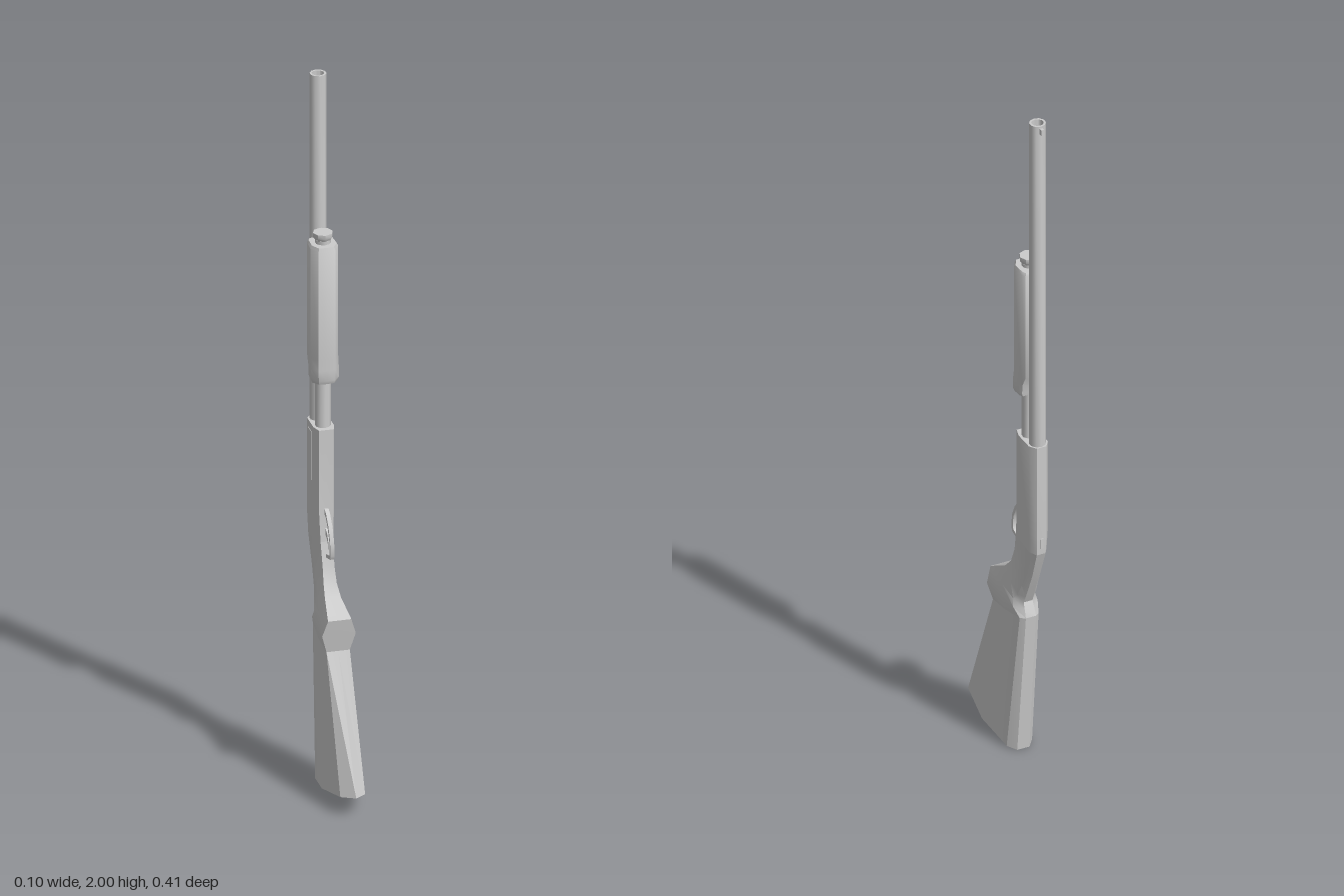
import * as THREE from 'three';
import { toCreasedNormals } from 'three/addons/utils/BufferGeometryUtils.js';

const mat = new THREE.MeshStandardMaterial({ color: 0xcccccc, side: THREE.DoubleSide });

function add(parent, name, geo, x = 0, y = 0, z = 0, crease = 0.7) {
  const mesh = new THREE.Mesh(toCreasedNormals(geo, crease), mat);
  mesh.name = name;
  mesh.position.set(x, y, z);
  parent.add(mesh);
  return mesh;
}

// Ten-sided cross-sections, listed from top to bottom.
// f, b: front and back ends as [z, y]; w: half width at the middle
// a: half width of the front facet, set back by ta; c: half width of the back facet
function loft(sections) {
  const pos = [], idx = [], N = 9;
  for (const { f, b, w, a, c, ta = 0, tm = 0.45, tb = 0.85, wb = 0.95 } of sections) {
    const half = [[a, ta], [w, tm], [w * wb, tb], [c, 1]];
    const loop = [[0, 0], ...half, ...half.slice().reverse().map(([x, t]) => [-x, t])];
    for (const [x, t] of loop) {
      pos.push(x, f[1] + (b[1] - f[1]) * t, f[0] + (b[0] - f[0]) * t);
    }
  }
  const last = (sections.length - 1) * N;
  for (let s = 0; s < last; s += N) {
    for (let i = 0; i < N; i++) {
      const j = (i + 1) % N;
      idx.push(s + i, s + N + i, s + N + j, s + i, s + N + j, s + j);
    }
  }
  for (let i = 1; i < N - 1; i++) {
    idx.push(0, i, i + 1, last, last + i + 1, last + i);
  }
  const geo = new THREE.BufferGeometry();
  geo.setAttribute('position', new THREE.Float32BufferAttribute(pos, 3));
  geo.setIndex(idx);
  return geo;
}

// Thin side-on plate from [z, y] points, centred on x = 0
function plate(points, width, hole) {
  const toVec = (p) => new THREE.Vector2(-p[0], p[1]);
  const shape = new THREE.Shape(points.map(toVec));
  if (hole) shape.holes.push(new THREE.Path(hole.map(toVec)));
  const geo = new THREE.ExtrudeGeometry(shape, { depth: width, bevelEnabled: false });
  return geo.translate(0, 0, -width / 2).rotateY(Math.PI / 2);
}

export function createModel() {
  const model = new THREE.Group();

  // Hollow barrel with a small bead at the muzzle
  const barrelProfile = [[0.0225, 0], [0.0225, 1.05], [0.0165, 1.05], [0.0165, 0.75], [0, 0.75]]
    .map(([r, y]) => new THREE.Vector2(r, y));
  add(model, 'barrel', new THREE.LatheGeometry(barrelProfile, 10), 0, 0.95, -0.173);
  add(model, 'frontBead', new THREE.BoxGeometry(0.008, 0.018, 0.012), 0, 1.985, -0.198);

  // Lower tube and its flared cap
  add(model, 'lowerTube', new THREE.CylinderGeometry(0.021, 0.021, 0.58, 10), 0, 1.25, -0.125);
  const capProfile = [[0.019, 0], [0.02, 0.016], [0.027, 0.026], [0.027, 0.038], [0, 0.038]]
    .map(([r, y]) => new THREE.Vector2(r, y));
  add(model, 'tubeCap', new THREE.LatheGeometry(capProfile, 8), 0, 1.522, -0.125);

  // Sliding fore-end, cut away at its lower rear edge
  const foreEnd = [
    [1.53, -0.086, -0.16, 0.034], [1.522, -0.082, -0.164, 0.038], [1.205, -0.082, -0.164, 0.038],
    [1.175, -0.082, -0.147, 0.038], [1.145, -0.082, -0.143, 0.038], [1.135, -0.086, -0.141, 0.034],
  ];
  add(model, 'foreEnd', loft(foreEnd.map(([y, f, b, w]) => (
    { f: [f, y], b: [b, y], w, a: w * 0.6, c: w * 0.8, ta: 0.03, tm: 0.35, wb: 0.96 }))));

  // Receiver
  add(model, 'receiver', loft([
    { f: [-0.09, 1.0], b: [-0.198, 1.0], w: 0.028, a: 0.02, c: 0.014, tm: 0.25, tb: 0.82, wb: 1 },
    { f: [-0.09, 0.76], b: [-0.198, 0.72], w: 0.028, a: 0.02, c: 0.014, tm: 0.25, tb: 0.82, wb: 1 },
    { f: [-0.083, 0.68], b: [-0.195, 0.665], w: 0.026, a: 0.018, c: 0.013, tm: 0.3, tb: 0.82, wb: 1 },
  ]));
  add(model, 'sidePort', new THREE.BoxGeometry(0.004, 0.14, 0.035), -0.0275, 0.91, -0.15);
  add(model, 'safetyCatch', new THREE.BoxGeometry(0.009, 0.03, 0.008), 0, 0.7, -0.196);

  // Guard loop and trigger
  add(model, 'triggerGuard', plate(
    [[-0.095, 0.775], [-0.075, 0.765], [-0.05, 0.735], [-0.034, 0.7], [-0.03, 0.66],
      [-0.036, 0.648], [-0.075, 0.638], [-0.1, 0.64]], 0.011,
    [[-0.09, 0.757], [-0.077, 0.752], [-0.057, 0.728], [-0.042, 0.697], [-0.039, 0.664],
      [-0.043, 0.657], [-0.074, 0.648], [-0.09, 0.65]]));
  add(model, 'trigger', plate(
    [[-0.09, 0.72], [-0.068, 0.705], [-0.055, 0.68], [-0.053, 0.667], [-0.062, 0.68], [-0.073, 0.692],
      [-0.09, 0.7]], 0.007));

  // Curved grip ending in a faceted front knob
  add(model, 'grip', loft([
    { f: [-0.083, 0.68], b: [-0.195, 0.665], w: 0.026, a: 0.018, c: 0.013, tm: 0.3, tb: 0.82, wb: 1 },
    { f: [-0.07, 0.615], b: [-0.165, 0.583], w: 0.024, a: 0.016, c: 0.011 },
    { f: [-0.053, 0.57], b: [-0.142, 0.53], w: 0.025, a: 0.018, c: 0.011 },
    { f: [-0.025, 0.54], b: [-0.127, 0.495], w: 0.029, a: 0.022, c: 0.012 },
    { f: [0.04, 0.505], b: [-0.118, 0.475], w: 0.034, a: 0.032, c: 0.013 },
    { f: [0.033, 0.46], b: [-0.126, 0.458], w: 0.038, a: 0.046, c: 0.014 },
    { f: [0.025, 0.41], b: [-0.135, 0.435], w: 0.035, a: 0.032, c: 0.015, tb: 0.93, wb: 0.8 },
  ]));

  // Flared butt stock with a pointed toe
  add(model, 'stock', loft([
    { f: [0.025, 0.41], b: [-0.135, 0.435], w: 0.035, a: 0.032, c: 0.015, tb: 0.93, wb: 0.8 },
    { f: [0.203, 0.06], b: [-0.09, 0], w: 0.052, a: 0.034, c: 0.018, ta: 0.12, tm: 0.52, tb: 0.92, wb: 0.72 },
  ]), 0, 0, 0, 0.35);

  return model;
}
